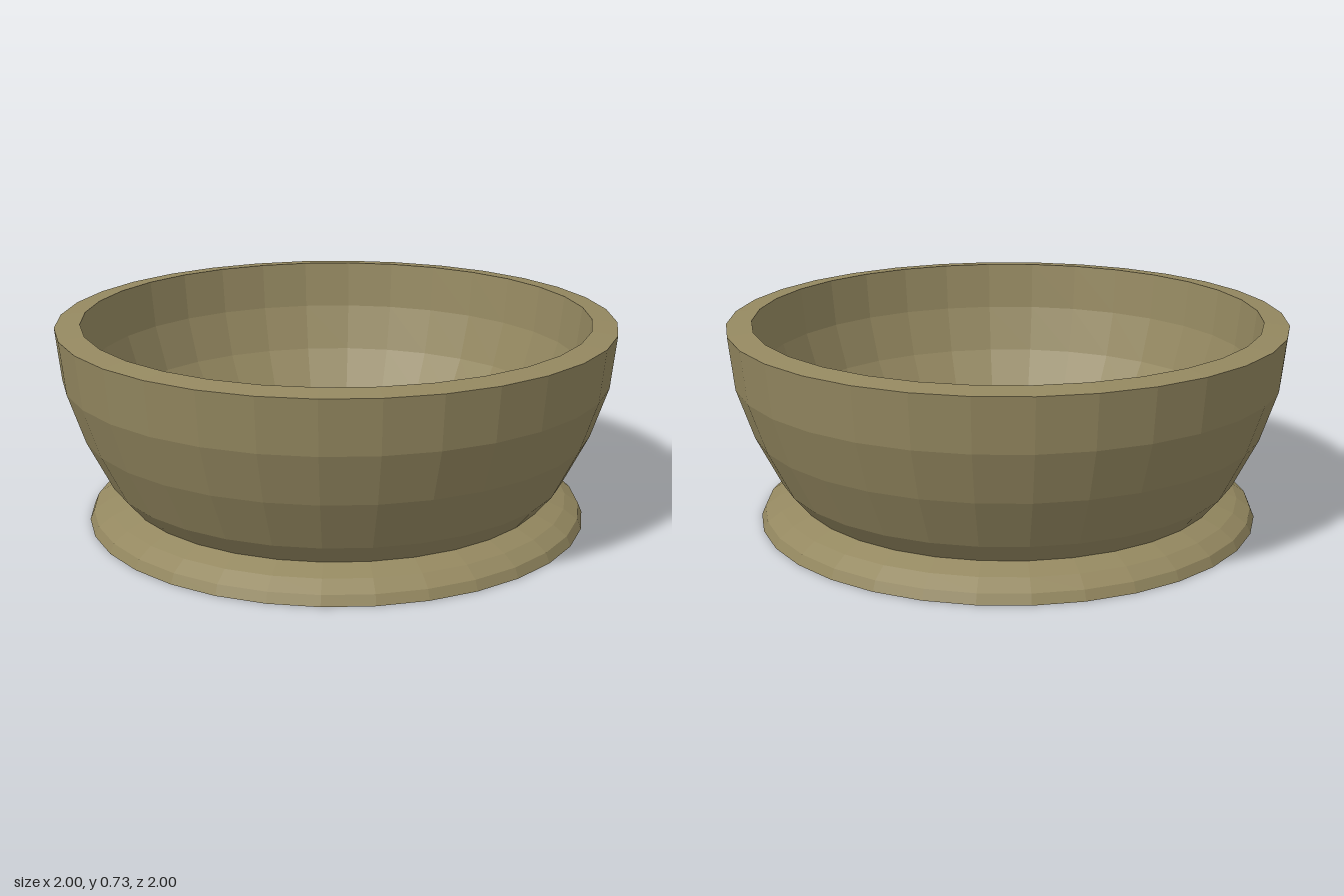
import * as THREE from 'three';

const SIDES = 32;

// Faceted solid of revolution from [radius, height] pairs
function turned(name, profile, material) {
  const points = profile.map(([r, y]) => new THREE.Vector2(r, y));
  const mesh = new THREE.Mesh(new THREE.LatheGeometry(points, SIDES), material);
  mesh.name = name;
  return mesh;
}

export function createModel() {
  const group = new THREE.Group();
  group.name = 'bowl';
  const clay = new THREE.MeshStandardMaterial({ color: 0x948860, flatShading: true });

  // Flared foot with a flat underside
  group.add(turned('foot', [
    [0, 0], [0.905, 0], [0.89, 0.035], [0.84, 0.07], [0.77, 0.098],
  ], clay));

  // Rounded outer wall
  group.add(turned('outerWall', [
    [0.77, 0.098], [0.83, 0.17], [0.92, 0.35], [0.98, 0.53], [1, 0.72],
  ], clay));

  // Rim, rising slightly towards the inside
  group.add(turned('rim', [[1, 0.72], [0.91, 0.73]], clay));

  // Inner wall, following the outer curve down to the floor
  group.add(turned('innerWall', [
    [0.91, 0.73], [0.89, 0.555], [0.835, 0.386], [0.75, 0.235], [0.67, 0.13],
  ], clay));

  // Flat floor
  group.add(turned('floor', [[0.67, 0.13], [0, 0.13]], clay));

  return group;
}
